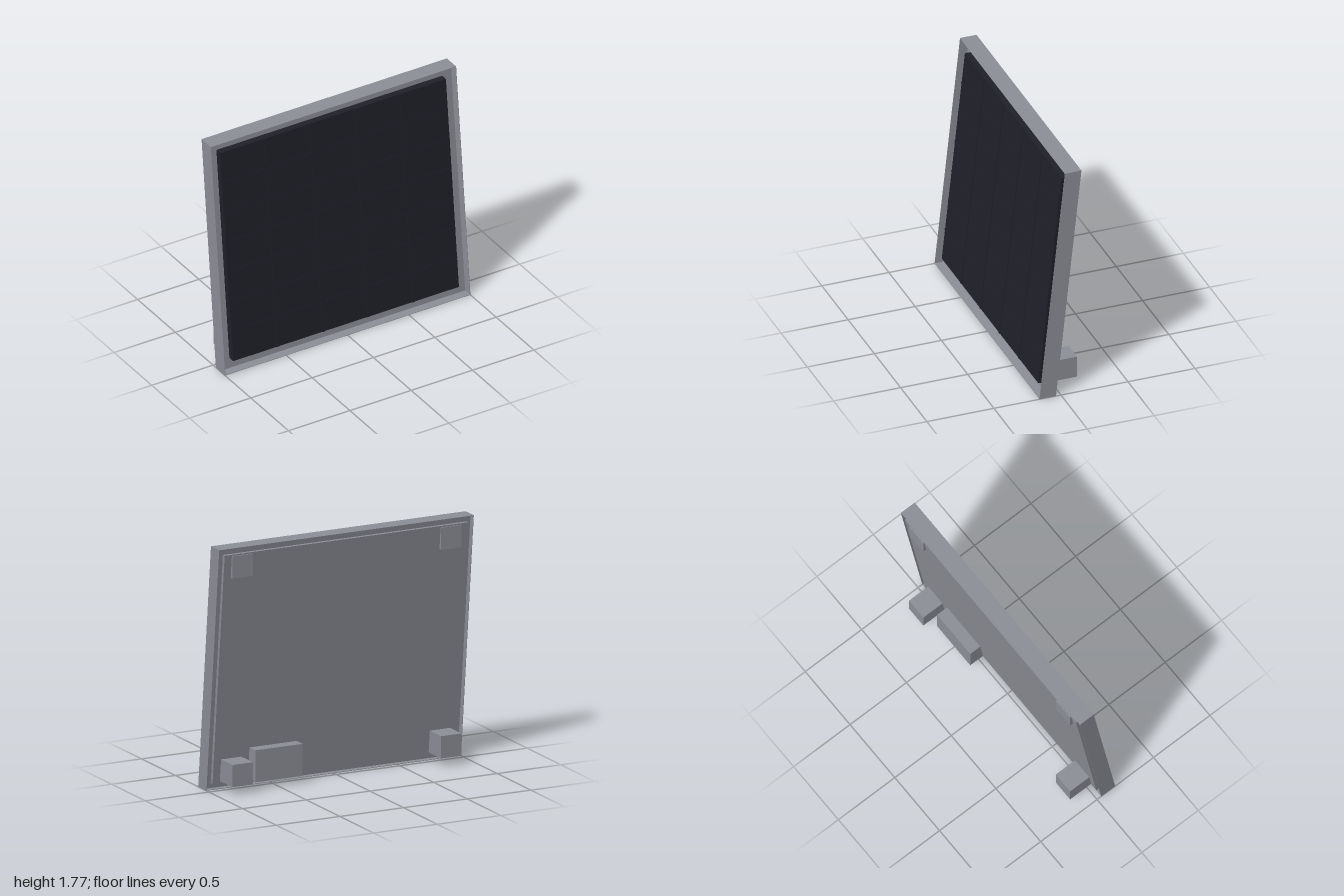
import * as THREE from 'three';

const HEIGHT = 1.775;
const LEAN = 0.107; // backward shift per unit of height

export function createModel() {
  const model = new THREE.Group();
  model.name = 'leaningScreenPanel';
  const grey = new THREE.MeshStandardMaterial({ color: 0x8e9098 });
  grey.name = 'frame grey';
  const dark = new THREE.MeshStandardMaterial({ color: 0x20202a });
  dark.name = 'screen dark';

  function box(name, x0, x1, y0, y1, z0, z1, material, leaning = true) {
    const geo = new THREE.BoxGeometry(x1 - x0, y1 - y0, z1 - z0);
    geo.translate((x0 + x1) / 2, (y0 + y1) / 2, (z0 + z1) / 2);
    if (leaning) {
      // z is measured from the front rim, then sheared back with height
      const p = geo.attributes.position;
      for (let i = 0; i < p.count; i++) p.setZ(i, p.getZ(i) + 0.16 - LEAN * p.getY(i));
      geo.computeVertexNormals();
    }
    const mesh = new THREE.Mesh(geo, material);
    mesh.name = name;
    model.add(mesh);
  }

  // Thin rim around the cabinet
  const t = 0.003;
  const back = -0.123;
  box('bottomRim', -1, 1, 0, t, back, 0, grey);
  box('topRim', -1, 1, HEIGHT - t, HEIGHT, back, 0, grey);
  box('leftRim', 1 - t, 1, t, HEIGHT - t, back, 0, grey);
  box('rightRim', -1, -1 + t, t, HEIGHT - t, back, 0, grey);

  // Recessed middle sheet and the cover closing the back
  box('middleSheet', -1 + t, 1 - t, t, HEIGHT - t, -0.08, -0.065, grey);
  box('backCover', -0.957, 0.957, 0.045, 1.73, -0.127, -0.1, grey);

  // Dark screen with thin seams between its tiles
  const w = 0.92, y0 = 0.08, y1 = 1.695, cols = 5, rows = 7;
  box('screen', -w, w, y0, y1, -0.065, -0.014, dark);
  for (let i = 1; i < cols; i++) {
    const x = -w + (2 * w * i) / cols;
    box('verticalSeam', x - 0.01, x + 0.01, y0, y1, -0.014, -0.01, dark);
  }
  for (let i = 1; i < rows; i++) {
    const y = y0 + ((y1 - y0) * i) / rows;
    box('horizontalSeam', -w, w, y - 0.006, y + 0.006, -0.014, -0.011, dark);
  }

  // Upright wall mounts in the corners of the back
  for (const x of [-0.9, 0.74]) {
    box('upperMount', x, x + 0.16, 1.56, 1.72, -0.16, -0.09, grey, false);
    box('lowerMount', x, x + 0.16, 0.06, 0.22, -0.16, 0.085, grey, false);
  }

  // Power box beside the lower left mount
  box('powerBox', 0.31, 0.68, 0.05, 0.28, -0.085, 0.06, grey, false);

  return model;
}
